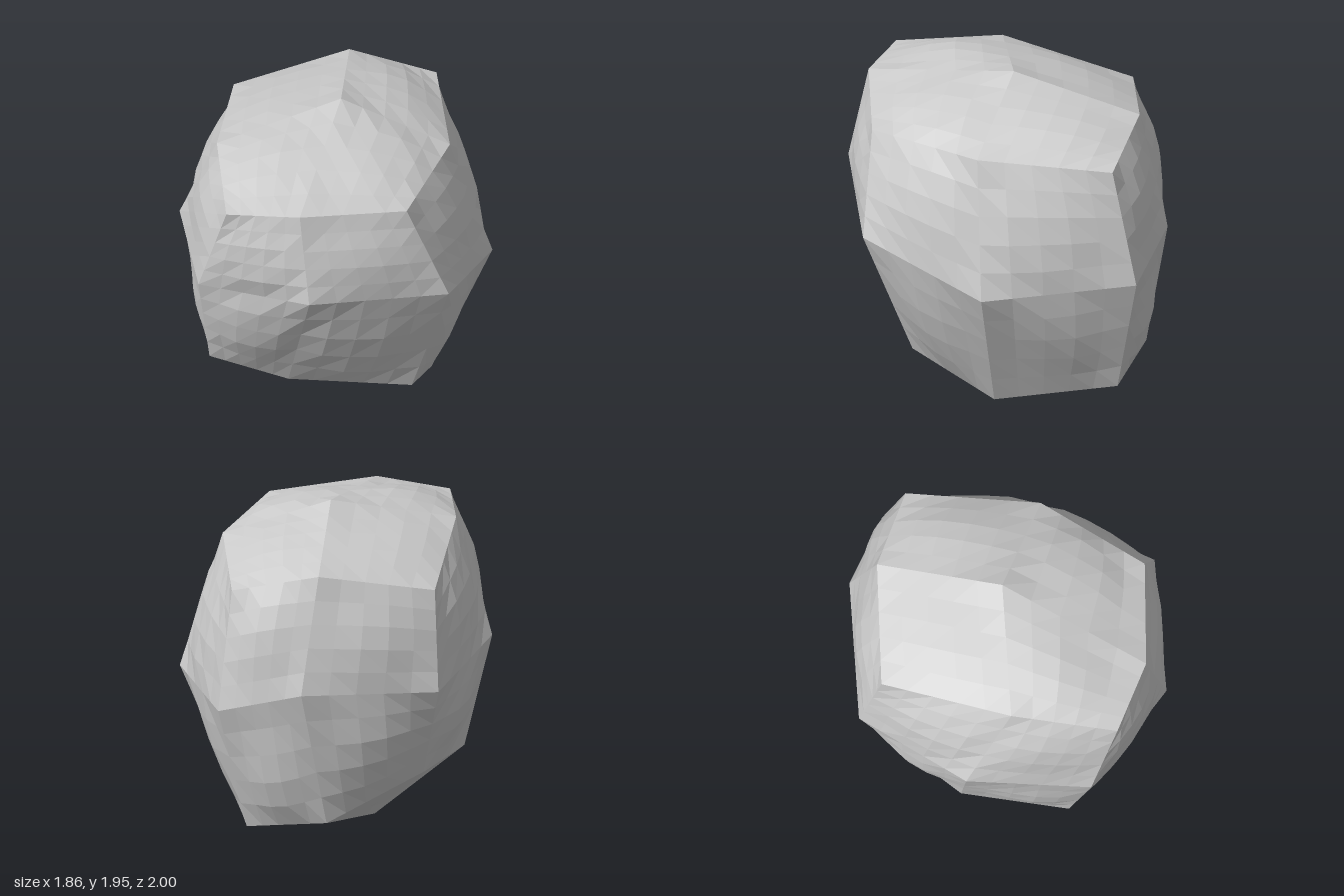
import * as THREE from 'three';

// Main corners of the boulder on a 3 x 3 x 3 cage: [level][back to front][-x to +x]
const CAGE = [
  [ // bottom
    [[-0.56, 0.43, -0.55], [0, 0.2, -0.84], [0.48, 0.14, -0.77]],
    [[-0.77, 0.43, -0.1], [-0.24, 0, -0.16], [0.57, 0.01, -0.04]],
    [[-0.73, 0.47, 0.55], [-0.26, 0.33, 0.57], [0.47, 0.24, 0.48]],
  ],
  [ // widest level
    [[-0.66, 1.02, -0.75], [0.14, 1.07, -1], [0.64, 0.93, -0.92]],
    [[-0.93, 1.11, -0.03], null, [0.93, 0.87, -0.04]],
    [[-0.79, 1.1, 0.7], [-0.12, 1.18, 1], [0.7, 1.09, 0.73]],
  ],
  [ // top
    [[-0.63, 1.62, -0.62], [0.05, 1.76, -0.81], [0.57, 1.64, -0.76]],
    [[-0.7, 1.77, 0.19], [0.03, 1.95, -0.04], [0.68, 1.69, 0.04]],
    [[-0.62, 1.7, 0.82], [-0.18, 1.74, 0.89], [0.45, 1.69, 0.73]],
  ],
];
const STEPS = 5;
const CENTRE = new THREE.Vector3(0, 0.97, 0);

const corner = ([i, j, k]) => new THREE.Vector3(...CAGE[j][k][i]);

// Point on a bilinear facet, swollen in its interior by a clipped, uneven bulge
function facetPoint([p00, p10, p01, p11], s, t, height) {
  const p = p00.clone().lerp(p10, s).lerp(p01.clone().lerp(p11, s), t);
  const uneven = 0.85 + 0.2 * Math.sin(5 * p.x + 3 * p.y) + 0.2 * Math.sin(6 * p.z - 4 * p.y + 1);
  const swell = 16 * s * (1 - s) * t * (1 - t) * uneven - 0.2;
  const bulge = height * THREE.MathUtils.clamp(1.6 * swell, 0, 1);
  return p.addScaledVector(p.clone().sub(CENTRE).normalize(), bulge);
}

function boulderGeometry() {
  const pos = [];
  const add = (...points) => points.forEach((p) => pos.push(p.x, p.y, p.z));

  for (let axis = 0; axis < 3; axis++) {
    for (const side of [0, 2]) {
      // Swap the two in-plane axes on the negative sides so every face points outward
      const u = (axis + (side ? 1 : 2)) % 3;
      const v = (axis + (side ? 2 : 1)) % 3;
      // The underside is worn flatter than the rest
      const height = axis === 1 && side === 0 ? 0.02 : 0.055;
      for (let a = 0; a < 2; a++) {
        for (let b = 0; b < 2; b++) {
          const at = (da, db) => {
            const id = [0, 0, 0];
            id[axis] = side;
            id[u] = a + da;
            id[v] = b + db;
            return corner(id);
          };
          const quad = [at(0, 0), at(1, 0), at(0, 1), at(1, 1)];
          const point = (m, n) => facetPoint(quad, m / STEPS, n / STEPS, height);
          for (let m = 0; m < STEPS; m++) {
            for (let n = 0; n < STEPS; n++) {
              const p = point(m, n), q = point(m + 1, n);
              const r = point(m + 1, n + 1), w = point(m, n + 1);
              add(p, q, r, p, r, w);
            }
          }
        }
      }
    }
  }
  const geometry = new THREE.BufferGeometry();
  geometry.setAttribute('position', new THREE.Float32BufferAttribute(pos, 3));
  geometry.computeVertexNormals();
  return geometry;
}

export function createModel() {
  const group = new THREE.Group();
  group.name = 'rock';
  const material = new THREE.MeshStandardMaterial({ color: 0xcccccc, flatShading: true });
  const boulder = new THREE.Mesh(boulderGeometry(), material);
  boulder.name = 'boulder';
  group.add(boulder);
  return group;
}
